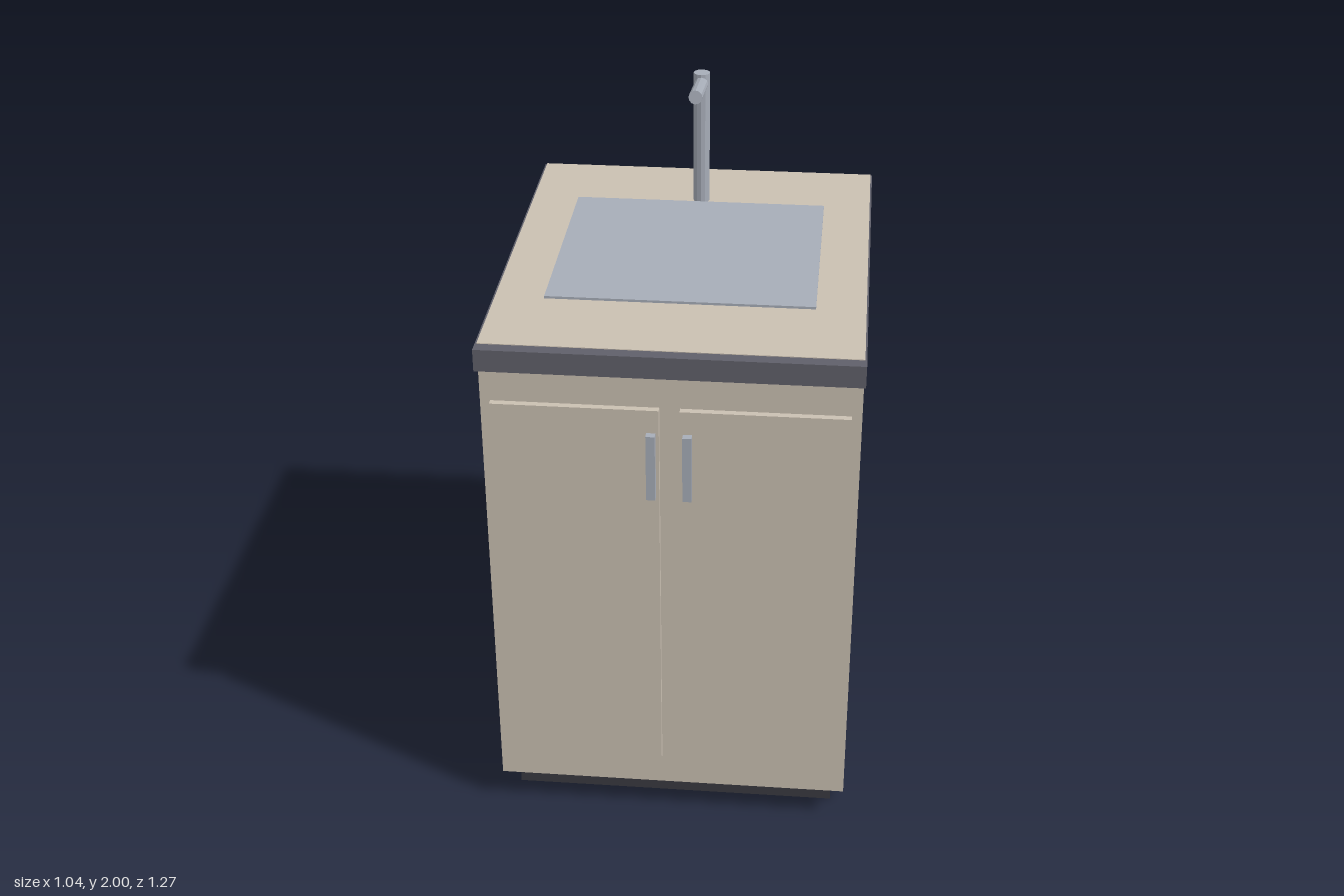
import * as THREE from 'three';

const material = (name, color, flatShading = false) => {
  const m = new THREE.MeshStandardMaterial({ color, flatShading });
  m.name = name;
  return m;
};

export function createModel() {
  const model = new THREE.Group();
  model.name = 'sinkCabinet';
  const beige = material('beige laminate', 0xcac0b2);
  const slate = material('slate counter edge', 0x60606a);
  const dark = material('dark plinth', 0x3a3a40);
  const steel = material('brushed steel', 0xa7adb8);

  // Box given by its limits on each axis
  const box = (name, mat, [x0, x1], [y0, y1], [z0, z1]) => {
    const mesh = new THREE.Mesh(new THREE.BoxGeometry(x1 - x0, y1 - y0, z1 - z0), mat);
    mesh.position.set((x0 + x1) / 2, (y0 + y1) / 2, (z0 + z1) / 2);
    mesh.name = name;
    model.add(mesh);
  };
  // Faceted rod between two points
  const rod = (name, radius, sides, a, b) => {
    const dir = b.clone().sub(a);
    const geo = new THREE.CylinderGeometry(radius, radius, dir.length(), sides).toNonIndexed();
    geo.computeVertexNormals();
    const mesh = new THREE.Mesh(geo, steel);
    mesh.position.copy(a).add(b).multiplyScalar(0.5);
    mesh.quaternion.setFromUnitVectors(new THREE.Vector3(0, 1, 0), dir.normalize());
    mesh.name = name;
    model.add(mesh);
  };

  // Cabinet body rises through the counter band, which edges it on front and sides
  box('plinth', dark, [-0.475, 0.475], [0, 0.105], [-0.61, 0.51]);
  box('cabinetBody', beige, [-0.513, 0.513], [0.105, 1.569], [-0.631, 0.595]);
  box('counterBand', slate, [-0.518, 0.518], [1.503, 1.567], [-0.629, 0.63]);

  // Doors with bar handles next to the centre gap
  for (const [side, s] of [['left', 1], ['right', -1]]) {
    const span = (a, b) => (s > 0 ? [a, b] : [-b, -a]);
    box(side + 'Door', beige, span(0.028, 0.485), [0.205, 1.397], [0.593, 0.614]);
    box(side + 'Handle', steel, span(0.037, 0.062), [1.128, 1.328], [0.612, 0.635]);
  }

  // Sink plate and tap
  box('sinkPlate', steel, [-0.375, 0.375], [1.565, 1.576], [-0.362, 0.318]);
  rod('tapColumn', 0.0245, 12, new THREE.Vector3(0, 1.565, -0.393), new THREE.Vector3(0, 1.976, -0.393));
  rod('tapSpout', 0.02, 12, new THREE.Vector3(0, 1.944, -0.393), new THREE.Vector3(0, 1.98, -0.175));
  return model;
}
